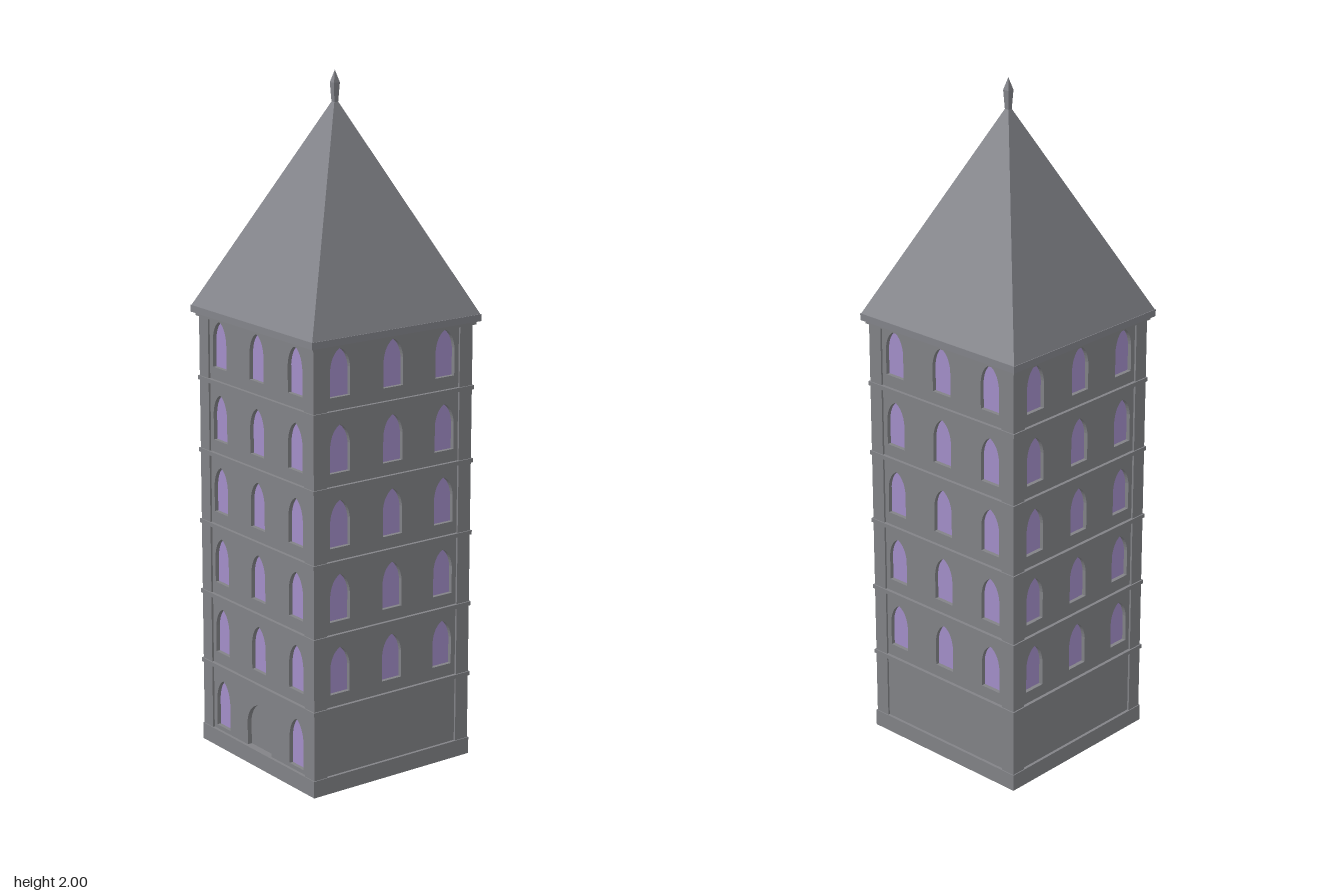
import * as THREE from 'three';

const HALF = 0.277;      // outer half width of the shaft
const FACE = 0.271;      // recessed wall panel face
const CORE = 0.257;      // back of the window openings
const EAVES = 1.3;
const FLOOR = 0.215;     // storey height

export function createModel() {
  const stone = new THREE.MeshStandardMaterial({ name: 'stone', color: 0x828387 });
  const slate = new THREE.MeshStandardMaterial({ name: 'slate', color: 0x84858b, flatShading: true });
  const glass = new THREE.MeshStandardMaterial({ name: 'violet glass', color: 0xa48fca });

  const model = new THREE.Group();
  model.name = 'tower';

  const add = (parent, name, geometry, material, x = 0, y = 0, z = 0) => {
    const mesh = new THREE.Mesh(geometry, material);
    mesh.name = name;
    mesh.position.set(x, y, z);
    parent.add(mesh);
    return mesh;
  };

  // Square slab given by its half width and its bottom and top heights
  const slab = (name, half, y0, y1, material) =>
    add(model, name, new THREE.BoxGeometry(half * 2, y1 - y0, half * 2), material, 0, (y0 + y1) / 2, 0);

  // Slightly pointed arch standing on (x, y)
  const arch = (path, x, y, w, h) => {
    const spring = y + h * 0.58, top = y + h;
    path.moveTo(x - w, y);
    path.lineTo(x + w, y);
    path.lineTo(x + w, spring);
    path.quadraticCurveTo(x + w * 0.85, top - h * 0.1, x, top);
    path.quadraticCurveTo(x - w * 0.85, top - h * 0.1, x - w, spring);
    path.closePath();
    return path;
  };

  // Shaft core, plinth and string courses
  slab('core', CORE, 0.01, EAVES, stone);
  slab('plinth', 0.28, 0, 0.05, stone);
  for (let i = 1; i <= 5; i++) {
    const y = 0.035 + i * FLOOR;
    slab('stringCourse', 0.281, y - 0.006, y + 0.006, stone);
  }

  // Corner piers
  for (const sx of [-1, 1]) for (const sz of [-1, 1]) {
    add(model, 'cornerPier', new THREE.BoxGeometry(0.045, EAVES - 0.02, 0.045), stone,
      sx * (HALF - 0.0225), EAVES / 2 + 0.01, sz * (HALF - 0.0225));
  }

  // Four walls with pierced arches; only the front has ground-floor openings
  for (let side = 0; side < 4; side++) {
    const wall = new THREE.Group();
    wall.name = ['frontWall', 'leftWall', 'backWall', 'rightWall'][side];
    wall.rotation.y = side * Math.PI / 2;
    model.add(wall);

    const panel = new THREE.Shape();
    panel.moveTo(-0.24, 0.02);
    panel.lineTo(0.24, 0.02);
    panel.lineTo(0.24, EAVES);
    panel.lineTo(-0.24, EAVES);
    panel.closePath();

    for (let row = side === 0 ? 0 : 1; row < 6; row++) {
      for (const x of [-0.183, 0, 0.183]) {
        if (row === 0 && x === 0) {
          panel.holes.push(arch(new THREE.Path(), 0, 0.04, 0.06, 0.15));   // doorway
          continue;
        }
        const y = row === 0 ? 0.062 : 0.077 + row * FLOOR;
        const h = row === 0 ? 0.145 : 0.137;
        panel.holes.push(arch(new THREE.Path(), x, y, 0.034, h));
        add(wall, 'windowPane', new THREE.ShapeGeometry(arch(new THREE.Shape(), x, y, 0.034, h)),
          glass, 0, 0, CORE + 0.002);
      }
    }
    add(wall, 'wallPanel', new THREE.ExtrudeGeometry(panel,
      { depth: FACE - CORE, bevelEnabled: false, curveSegments: 8 }), stone, 0, 0, CORE);
  }

  // Four-sided frustum aligned with the walls
  const pyramid = (name, rTop, rBottom, y0, y1, material) => {
    const g = new THREE.CylinderGeometry(rTop * Math.SQRT2, rBottom * Math.SQRT2, y1 - y0, 4, 1);
    g.rotateY(Math.PI / 4);
    return add(model, name, g, material, 0, (y0 + y1) / 2, 0);
  };

  // Eaves, roof and finial
  slab('cornice', 0.284, EAVES - 0.008, EAVES + 0.004, stone);
  slab('eaves', 0.294, EAVES + 0.002, 1.322, slate);
  pyramid('roof', 0, 0.292, 1.322, 1.925, slate);
  pyramid('finialStem', 0.01, 0.006, 1.9, 1.965, slate);
  pyramid('finialTip', 0, 0.01, 1.965, 2, slate);

  return model;
}
